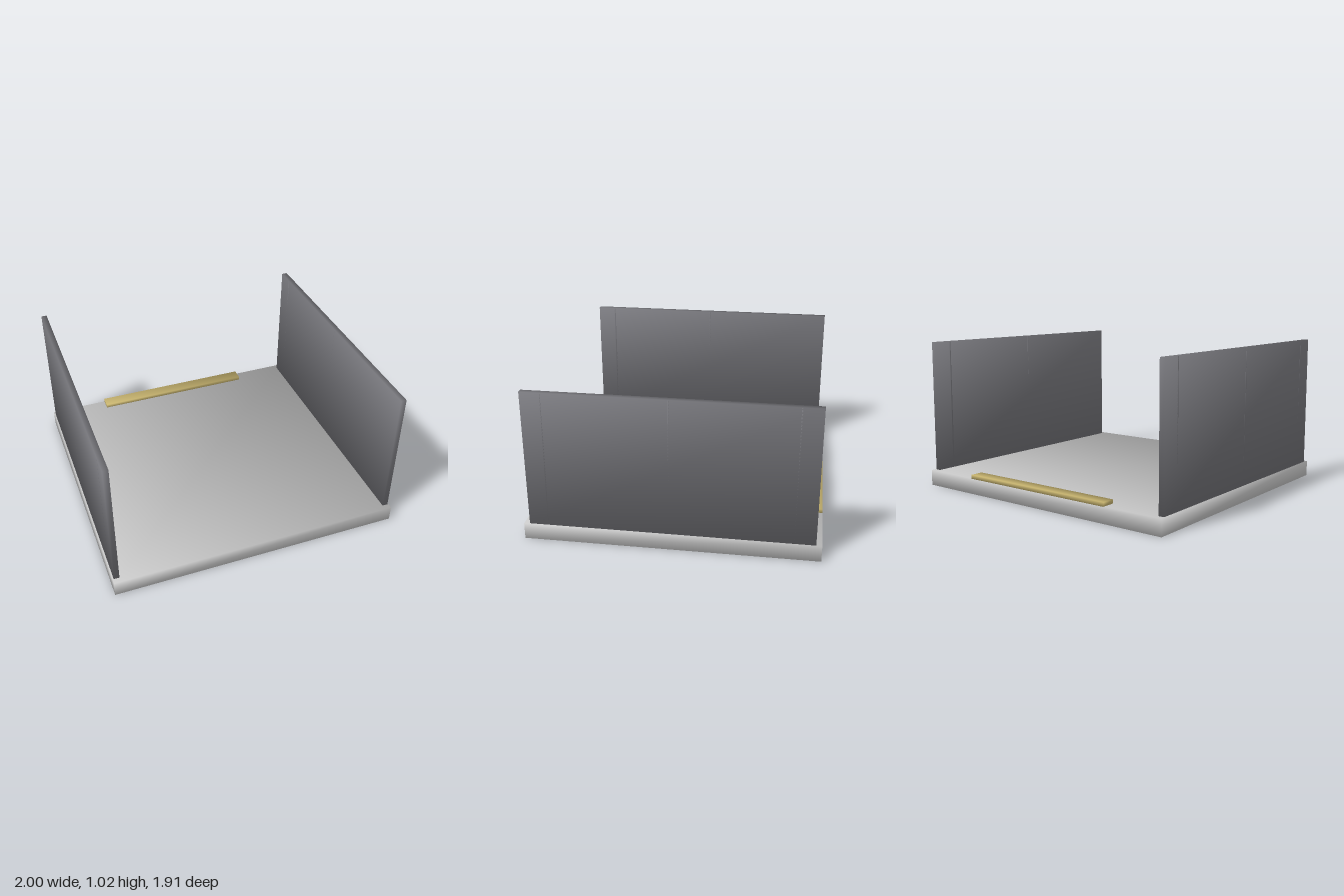
import * as THREE from 'three';

// Box given by its min and max corners; every normal points out through its corner
function softBox(name, min, max, material) {
  const size = max.map((v, i) => v - min[i]);
  const geometry = new THREE.BoxGeometry(...size);
  const { position, normal } = geometry.attributes;
  const n = new THREE.Vector3();
  for (let i = 0; i < position.count; i++) {
    n.set(Math.sign(position.getX(i)), Math.sign(position.getY(i)), Math.sign(position.getZ(i))).normalize();
    normal.setXYZ(i, n.x, n.y, n.z);
  }
  const mesh = new THREE.Mesh(geometry, material);
  mesh.name = name;
  mesh.position.set(...min.map((v, i) => v + size[i] / 2));
  return mesh;
}

export function createModel() {
  const model = new THREE.Group();
  model.name = 'tray';
  const grey = new THREE.MeshStandardMaterial({ color: 0xcccccc });
  const dark = new THREE.MeshStandardMaterial({ color: 0x77777c });
  const brass = new THREE.MeshStandardMaterial({ color: 0xccb872 });

  // Floor slab
  model.add(softBox('floor', [-1, 0, -0.955], [1, 0.108, 0.955], grey));

  // Side walls, each with three flush seam strips
  for (const [side, x0] of [['left', 0.954], ['right', -0.992]]) {
    const wall = new THREE.Group();
    wall.name = side + 'Wall';
    wall.add(softBox(side + 'Panel', [x0, 0.1, -0.918], [x0 + 0.038, 1.02, 0.918], dark));
    for (const z of [-0.79, 0, 0.79]) {
      wall.add(softBox(side + 'Seam', [x0, 0.108, z - 0.006], [x0 + 0.038, 1.018, z + 0.006], dark));
    }
    model.add(wall);
  }

  // Brass strip along the back edge
  model.add(softBox('backStrip', [-0.58, 0.106, -0.955], [0.58, 0.134, -0.866], brass));
  return model;
}
